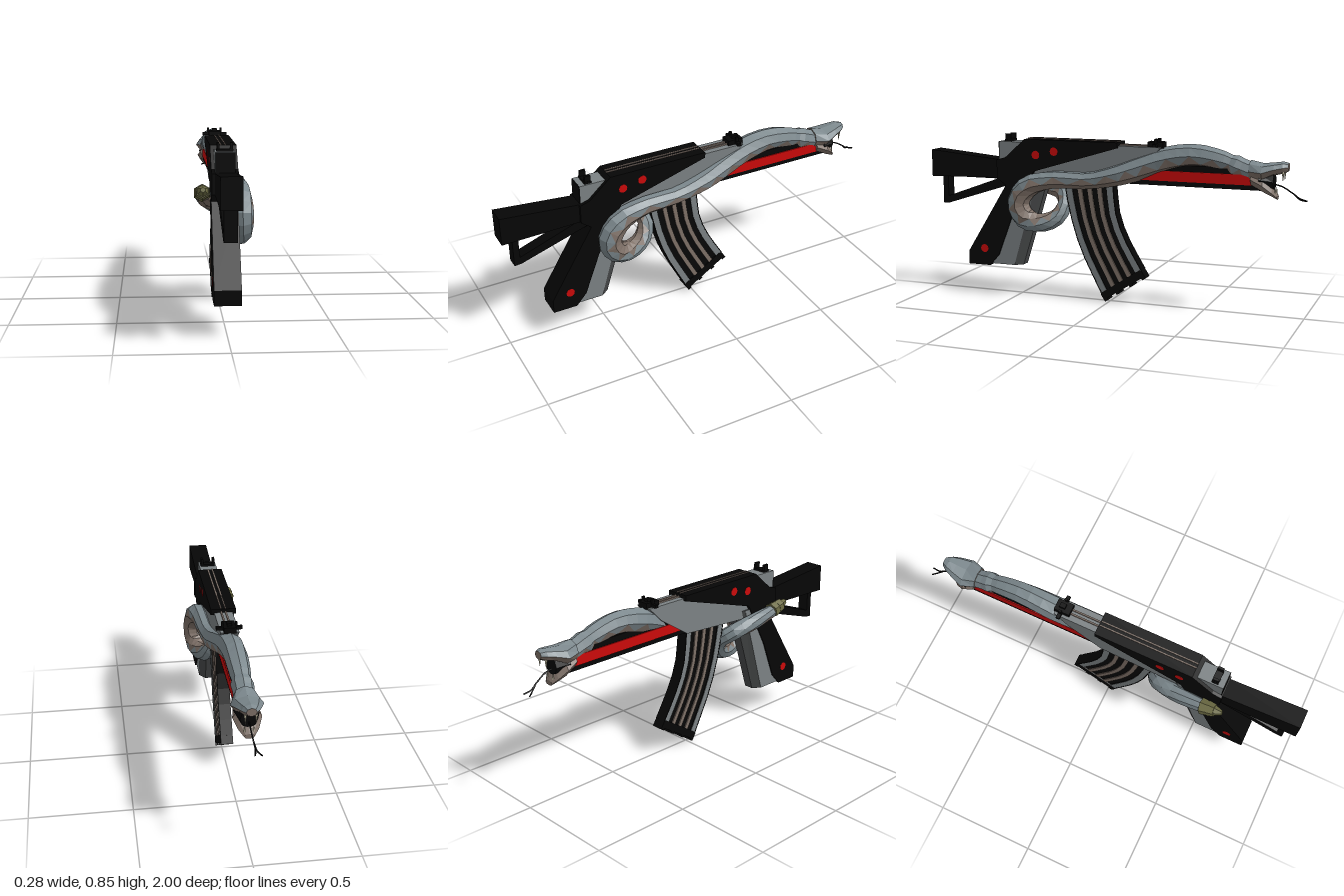
import * as THREE from 'three';

const mat = (name, color) => Object.assign(new THREE.MeshStandardMaterial({ color }), { name });

export function createModel() {
  const root = new THREE.Group();
  root.name = 'serpentRifle';
  const black = mat('black', 0x060606), grey = mat('grey', 0x7c8284), red = mat('red', 0xcc0a0a);
  const darkGrey = mat('darkGrey', 0x484a4b);
  const scale = mat('snakeScale', 0x7d898e), belly = mat('belly', 0x7f7168);
  const olive = mat('rattleOlive', 0x6e6d45), ivory = mat('ivory', 0xc9c2a8);

  const add = (name, geo, material) => {
    const m = new THREE.Mesh(geo, material);
    m.name = name;
    root.add(m);
    return m;
  };
  const box = (name, material, x, y, z, w, h, d) => {
    const m = add(name, new THREE.BoxGeometry(w, h, d), material);
    m.position.set(x, y, z);
    return m;
  };
  // Side profile given as [z, y] points, extruded across x to a half width
  const toShape = (pts, C = THREE.Shape) => new C(pts.map(([z, y]) => new THREE.Vector2(-z, y)));
  const slab = (name, material, pts, half, hole) => {
    const s = toShape(pts);
    if (hole) s.holes.push(toShape(hole, THREE.Path));
    const g = new THREE.ExtrudeGeometry(s, { depth: half * 2, bevelEnabled: false });
    return add(name, g.translate(0, 0, -half).rotateY(Math.PI / 2), material);
  };
  // Faceted skin over equal closed rings; columns in "second" use material 1, zigzag adds toothed borders
  const skin = (name, rings, materials, second = [], zigzag = false) => {
    const n = rings[0].length, parts = [[], []];
    const tri = (k, ...v) => v.forEach((p) => parts[k].push(p.x, p.y, p.z));
    for (let i = 0; i < rings.length - 1; i++) for (let j = 0; j < n; j++) {
      const k = (j + 1) % n;
      const a = rings[i][j], b = rings[i][k], c = rings[i + 1][k], d = rings[i + 1][j];
      const even = i % 2 === 0, inner = second.includes(j) ? 1 : 0;
      if (zigzag && j === 2) {
        if (even) { tri(1, a, b, c); tri(0, a, c, d); } else { tri(1, b, c, d); tri(0, a, b, d); }
      } else if (zigzag && j === 5) {
        if (even) { tri(1, a, b, d); tri(0, b, c, d); } else { tri(1, a, c, d); tri(0, a, b, c); }
      } else { tri(inner, a, b, c); tri(inner, a, c, d); }
    }
    const f = rings[0], l = rings[rings.length - 1];
    for (let j = 1; j < n - 1; j++) { tri(1, f[0], f[j + 1], f[j]); tri(1, l[0], l[j], l[j + 1]); }
    const g = new THREE.BufferGeometry();
    g.setAttribute('position', new THREE.Float32BufferAttribute([...parts[0], ...parts[1]], 3));
    g.addGroup(0, parts[0].length / 3, 0);
    g.addGroup(parts[0].length / 3, parts[1].length / 3, 1);
    g.computeVertexNormals();
    return add(name, g, materials);
  };

  // Receiver with rear grip in one plate
  slab('receiverAndGrip', black, [[0.61, 0.715], [0.56, 0.73], [0.45, 0.828], [-0.056, 0.828], [-0.056, 0.8],
    [0.4, 0.663], [0.527, 0.42], [0.607, 0.21], [0.66, 0.15], [0.783, 0.15], [0.783, 0.22], [0.56, 0.583], [0.61, 0.62]], 0.0615);
  slab('receiverCore', grey, [[0.6, 0.7], [0.6, 0.81], [-0.28, 0.81], [-0.2, 0.73], [-0.03, 0.62], [0.45, 0.59]], 0.045);
  box('receiverRearPlate', black, 0, 0.755, 0.602, 0.09, 0.109, 0.005);
  // Front of grip: light sides, dark chamfers and front
  const gripRing = (y, back, mid, front) => [[-0.055, back], [0.055, back], [0.055, mid], [0.025, front], [-0.025, front], [-0.055, mid]]
    .map(([x, z]) => new THREE.Vector3(x, y, z));
  skin('gripFront', [gripRing(0.16, 0.66, 0.52, 0.48), gripRing(0.64, 0.46, 0.38, 0.33)], [grey, darkGrey], [2, 3, 4]);

  // Stock and its lower brace
  slab('stock', black, [[1, 0.752], [1, 0.61], [0.6, 0.62], [0.6, 0.715]], 0.048);
  slab('stockBrace', black, [[0.945, 0.63], [0.945, 0.465], [0.91, 0.468], [0.56, 0.58], [0.56, 0.64]], 0.03,
    [[0.915, 0.612], [0.62, 0.612], [0.915, 0.505]]);

  // Barrel with red side strips
  box('barrel', black, 0, 0.675, -0.34, 0.07, 0.105, 0.88);
  for (const s of [-1, 1]) box('barrelStripe', red, s * 0.036, 0.671, -0.42, 0.008, 0.05, 0.7);

  // Top rods and sights
  for (const s of [-1, 1]) {
    box('topRod', belly, s * 0.011, 0.828, 0.2, 0.006, 0.006, 0.5);
    box('frontRod', belly, s * 0.011, 0.812, -0.14, 0.008, 0.01, 0.18);
    box('frontSightPost', black, s * 0.033, 0.835, -0.25, 0.01, 0.03, 0.015);
    box('rearSightPost', black, s * 0.03, 0.83, 0.555, 0.012, 0.04, 0.03);
  }
  box('frontSightBase', black, 0, 0.82, -0.245, 0.06, 0.03, 0.08);
  box('frontSightBar', black, 0, 0.82, -0.25, 0.126, 0.015, 0.018);
  box('frontSightPin', black, 0, 0.838, -0.25, 0.024, 0.02, 0.03);
  box('rearSightBase', black, 0, 0.813, 0.555, 0.075, 0.016, 0.035);

  // Red pins on both sides
  for (const [z, y] of [[0.388, 0.749], [0.286, 0.77], [0.69, 0.24]]) {
    const g = new THREE.CylinderGeometry(0.022, 0.022, 0.125, 12).rotateZ(Math.PI / 2);
    add('pin', g, red).position.set(0, y, z);
  }

  // Curved magazine built from strips between its rear and front edges
  const edge = (pts) => new THREE.CatmullRomCurve3(pts.map(([z, y]) => new THREE.Vector3(0, y, z))).getSpacedPoints(6);
  const rear = edge([[0.24, 0.62], [0.205, 0.44], [0.15, 0.27], [0.035, 0.04]]);
  const front = edge([[-0.02, 0.62], [-0.04, 0.45], [-0.09, 0.325], [-0.175, 0.18]]);
  const strip = (name, material, f0, f1, half) => {
    const line = (f) => rear.map((p, i) => { const q = p.clone().lerp(front[i], f); return [q.z, q.y]; });
    slab(name, material, [...line(f0), ...line(f1).reverse()], half);
  };
  strip('magazineCore', black, 0.05, 0.95, 0.024);
  for (const f of [0, 0.87]) {
    strip('magazineEdge', black, f, f + 0.13, 0.028);
    strip('magazineEdgePlate', grey, f + 0.002, f + 0.128, 0.03);
  }
  for (const f of [0.25, 0.46, 0.67]) strip('magazineRib', belly, f, f + 0.09, 0.03);
  // Black facing on the narrow rear and front of the magazine
  strip('magazineRearFace', black, -0.015, 0.004, 0.031);
  strip('magazineFrontFace', black, 0.996, 1.015, 0.031);
  slab('magazineBase', black, [[0.042, 0.045], [0.022, 0.012], [-0.19, 0.148], [-0.17, 0.184]], 0.031);
  for (const t of [0.03, 0.33, 0.66, 0.97]) {
    const m = box('magazineBaseRib', black, 0, 0.022 + t * 0.138, 0.028 - t * 0.214, 0.062, 0.045, 0.022);
    m.rotation.x = 0.57;
  }

  // Snake body: x, y, z, radius, then belly direction
  const path = [
    [0, 0.7, -0.74, 0.048, 0, -1, 0], [0, 0.728, -0.66, 0.05, 0, -1, 0], [0, 0.752, -0.59, 0.05, 0, -1, 0],
    [0, 0.775, -0.45, 0.056, 0, -1, 0], [0.005, 0.75, -0.3, 0.062, 0.1, -1, 0], [0.025, 0.7, -0.16, 0.06, 0.2, -1, 0],
    [0.045, 0.662, -0.05, 0.053, 0.25, -1, 0], [0.06, 0.63, 0.1, 0.043, 0.3, -1, 0], [0.072, 0.627, 0.29, 0.046, 0.4, -1, 0],
    [0.082, 0.585, 0.425, 0.056, 0.6, -0.7, -0.5], [0.083, 0.5, 0.478, 0.06, 0.7, 0, -0.8], [0.083, 0.425, 0.445, 0.058, 0.5, 0.6, -0.5],
    [0.07, 0.398, 0.37, 0.049, 0.1, 1, 0], [0.04, 0.425, 0.285, 0.044, 0, 0.7, 0.7], [0, 0.495, 0.25, 0.04, 0, 0, 1],
    [-0.055, 0.545, 0.29, 0.043, 0.5, -0.5, 0.3], [-0.083, 0.577, 0.4, 0.042, 0.3, -1, 0], [-0.1, 0.615, 0.55, 0.032, 0, -1, 0],
  ];
  const curveOf = (f) => new THREE.CatmullRomCurve3(path.map(f));
  const spine = curveOf((p) => new THREE.Vector3(p[0], p[1], p[2]));
  const width = curveOf((p) => new THREE.Vector3(p[3], 0, 0));
  const under = curveOf((p) => new THREE.Vector3(p[4], p[5], p[6]));
  const steps = 43, rings = [];
  for (let i = 0; i <= steps; i++) {
    const t = i / steps, c = spine.getPoint(t), r = width.getPoint(t).x, T = spine.getTangent(t);
    const N = under.getPoint(t).negate();
    N.addScaledVector(T, -N.dot(T)).normalize();
    const B = new THREE.Vector3().crossVectors(T, N);
    rings.push(Array.from({ length: 8 }, (_, j) => {
      const a = (j / 8) * Math.PI * 2;
      return c.clone().addScaledVector(N, r * Math.cos(a)).addScaledVector(B, r * Math.sin(a));
    }));
  }
  skin('snakeBody', rings, [scale, belly], [3, 4], true);

  // Head: rings given as z, half width, top, bottom
  const headRing = ([z, w, top, bottom]) => Array.from({ length: 8 }, (_, j) => {
    const a = (j / 8) * Math.PI * 2;
    return new THREE.Vector3(-Math.sin(a) * w, (top + bottom) / 2 + Math.cos(a) * (top - bottom) / 2, z);
  });
  skin('upperJaw', [[-0.905, 0.024, 0.758, 0.718], [-0.88, 0.042, 0.764, 0.706], [-0.84, 0.058, 0.758, 0.696],
    [-0.785, 0.075, 0.752, 0.668], [-0.72, 0.054, 0.765, 0.662]].map(headRing), [scale, belly], [2, 3, 4, 5]);
  skin('lowerJaw', [[-0.855, 0.024, 0.602, 0.578], [-0.832, 0.046, 0.638, 0.59], [-0.79, 0.066, 0.69, 0.608],
    [-0.73, 0.055, 0.71, 0.64]].map(headRing), [belly, belly]);
  skin('mouthInside', [[-0.838, 0.04, 0.71, 0.624], [-0.77, 0.06, 0.712, 0.64]].map(headRing), [black, black]);
  for (const s of [-1, 1]) {
    const fang = add('fang', new THREE.ConeGeometry(0.007, 0.05, 5).rotateX(Math.PI), ivory);
    fang.position.set(s * 0.024, 0.692, -0.882);
    add('lowerFang', new THREE.ConeGeometry(0.005, 0.03, 5), ivory).position.set(s * 0.02, 0.625, -0.845);
  }

  // Forked tongue
  const tube = (name, pts) => add(name, new THREE.TubeGeometry(
    new THREE.CatmullRomCurve3(pts.map((p) => new THREE.Vector3(...p))), 8, 0.0035, 5), black);
  tube('tongue', [[0, 0.655, -0.8], [0, 0.645, -0.87], [-0.005, 0.61, -0.93]]);
  tube('tongueFork', [[-0.005, 0.61, -0.93], [-0.015, 0.582, -0.96], [-0.035, 0.572, -0.99]]);
  tube('tongueFork', [[-0.005, 0.61, -0.93], [-0.008, 0.588, -0.96], [-0.002, 0.578, -0.998]]);

  // Rattle on the tail tip
  const rattle = new THREE.Group();
  rattle.name = 'rattle';
  [[0.036, 0.042, 0], [0.032, 0.038, 0.036], [0.012, 0.027, 0.072]].forEach(([tip, base, at]) => {
    const m = new THREE.Mesh(new THREE.CylinderGeometry(tip, base, 0.036, 6).toNonIndexed(), olive);
    m.geometry.computeVertexNormals();
    m.name = 'rattleSegment';
    m.position.y = at;
    rattle.add(m);
  });
  rattle.position.set(-0.102, 0.622, 0.55);
  rattle.rotation.x = 1.3;
  root.add(rattle);
  return root;
}
